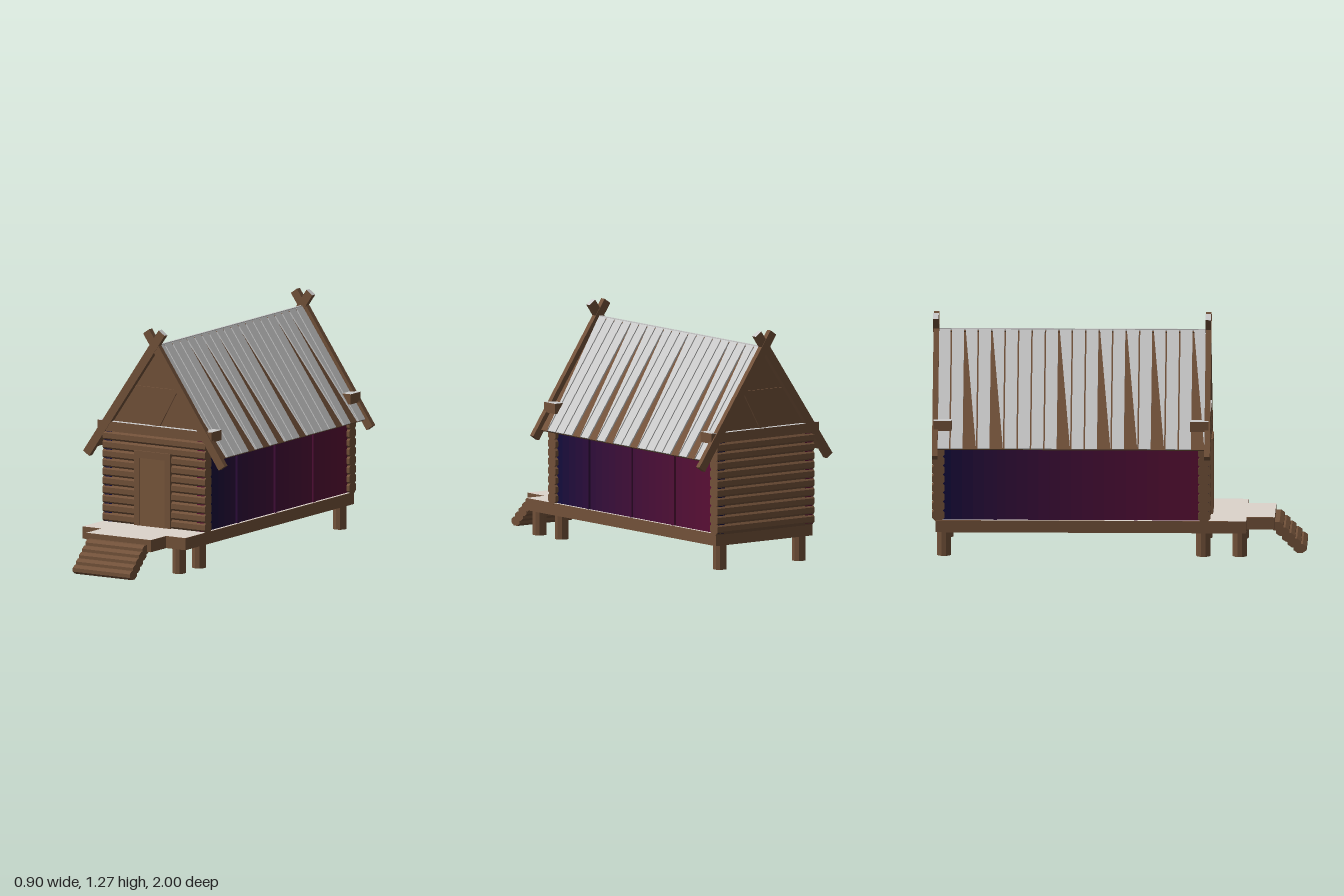
import * as THREE from 'three';

const mat = (color, side = THREE.FrontSide) =>
  new THREE.MeshStandardMaterial({ color, side, flatShading: true });
const WOOD = mat(0x73523a), DOOR = mat(0x7a583c), PALE = mat(0xddd4cc), GREY = mat(0xcccccc);
const TOPPED = [WOOD, WOOD, GREY, WOOD, WOOD, WOOD]; // timber with a grey upper face
const BLUE = new THREE.Color(0x0e0c3c), RED = new THREE.Color(0x5c0f34);

const MID_Z = -0.255; // centre of the house along z
const RIDGE = 1.175, EAVE_X = 0.4, EAVE_Y = 0.6;

function add(parent, name, geometry, material, x = 0, y = 0, z = 0) {
  const mesh = new THREE.Mesh(geometry, material);
  mesh.name = name;
  mesh.position.set(x, y, z);
  parent.add(mesh);
  return mesh;
}

const box = (parent, name, w, h, d, x, y, z, material = WOOD) =>
  add(parent, name, new THREE.BoxGeometry(w, h, d), material, x, y, z);

const polygon = (points) => new THREE.Shape(points.map(([x, y]) => new THREE.Vector2(x, y)));
const extrude = (shape, depth) => new THREE.ExtrudeGeometry(shape, { depth, bevelEnabled: false });

// Eight-sided log lying along x, squashed to the given half sizes
function log(parent, name, length, ry, rz, x, y, z) {
  const g = new THREE.CylinderGeometry(1, 1, length, 8);
  g.rotateY(Math.PI / 8).rotateZ(Math.PI / 2).scale(1, ry, rz);
  return add(parent, name, g, WOOD, x, y, z);
}

// Deck with a stepped front, on round stilts, with log stairs
function buildDeck() {
  const deck = new THREE.Group();
  deck.name = 'deck';
  const outline = polygon([
    [-0.328, 0.98], [-0.328, -0.68], [-0.207, -0.68], [-0.207, -0.83],
    [0.203, -0.83], [0.203, -0.68], [0.325, -0.68], [0.325, 0.98],
  ]);
  add(deck, 'platform', extrude(outline, 0.065).rotateX(-Math.PI / 2), WOOD, 0, 0.133, 0);
  add(deck, 'platformTop', new THREE.ShapeGeometry(outline).rotateX(-Math.PI / 2), PALE, 0, 0.199, 0);
  for (const x of [-0.268, 0.263])
    for (const z of [0.645, 0.45, -0.935])
      add(deck, 'stilt', new THREE.CylinderGeometry(0.038, 0.038, 0.134, 10), WOOD, x, 0.067, z);
  for (let i = 0; i < 5; i++)
    log(deck, 'step', 0.363, 0.026, 0.038, -0.003, 0.026 + i * 0.03, 0.965 - i * 0.031);
  return deck;
}

// Long side wall: colour runs from blue to red, seen from outside left to right
function buildSideWall() {
  const wall = new THREE.Group();
  wall.name = 'sideWall';
  const n = 24, length = 1.4, w = length / n;
  for (let i = 0; i < n; i++) {
    const color = BLUE.clone().lerp(RED, (i + 0.5) / n);
    const panel = mat(color, THREE.DoubleSide);
    add(wall, 'wallPanel', new THREE.PlaneGeometry(w, 0.5), panel, -length / 2 + w * (i + 0.5), 0.445, 0.308);
  }
  for (const x of [-0.405, -0.03, 0.345]) {
    const color = BLUE.clone().lerp(RED, x / length + 0.5);
    box(wall, 'wallPost', 0.018, 0.49, 0.02, x, 0.445, 0.31, mat(color));
  }
  return wall;
}

// Log end wall with truss gable, cross beam, barge boards and plate ends; faces +z
function buildEnd() {
  const end = new THREE.Group();
  end.name = 'endWall';
  for (let i = 0; i < 10; i++)
    log(end, 'wallLog', 0.652, 0.036, 0.036, 0, 0.224 + i * 0.049, 0.71);
  // Coloured chinks near the corners
  add(end, 'cornerChink', new THREE.PlaneGeometry(0.05, 0.49), mat(BLUE), -0.294, 0.445, 0.735);
  add(end, 'cornerChink', new THREE.PlaneGeometry(0.05, 0.49), mat(RED), 0.294, 0.445, 0.735);

  add(end, 'gable', extrude(polygon([[-0.33, 0.69], [0.33, 0.69], [0, 1.165]]), 0.02), WOOD, 0, 0, 0.69);
  const brace = polygon([[-0.137, 0.95], [-0.02, 0.74], [0.02, 0.74], [0.137, 0.95]]);
  add(end, 'gableBrace', extrude(brace, 0.008), WOOD, 0, 0, 0.71);
  box(end, 'crossBeam', 0.64, 0.053, 0.05, 0, 0.717, 0.715, TOPPED);

  for (const s of [-1, 1]) {
    const board = box(end, 'bargeBoard', 0.046, 0.847, 0.03, s * 0.19, 0.906, 0.728 - (s > 0 ? 0.002 : 0), TOPPED);
    board.rotation.z = s * Math.atan2(0.48, 0.698);
    box(end, 'plateEnd', 0.06, 0.055, 0.098, s * 0.331, 0.717, 0.686, TOPPED);
  }
  return end;
}

// One roof slope on the +x side: brown boarding under grey strips, some cut to a triangle
function buildSlope(cutStrips) {
  const slope = new THREE.Group();
  slope.name = 'roofSlope';
  const rise = RIDGE - EAVE_Y, L = Math.hypot(EAVE_X, rise);
  const n = 20, length = 1.435, w = length / n, gap = 0.004;
  box(slope, 'roofBoarding', length, L, 0.012, 0, L / 2, -0.008);
  for (let i = 0; i < n; i++) {
    const a = -length / 2 + i * w + gap, b = a + w - 2 * gap;
    const outline = cutStrips.includes(i)
      ? [[a, L], [b, 0], [b, L]]
      : [[a, 0], [b, 0], [b, L], [a, L]];
    add(slope, 'roofStrip', extrude(polygon(outline), 0.008), GREY, 0, 0, -0.002);
  }
  const along = new THREE.Vector3(0, 0, -1);
  const up = new THREE.Vector3(-EAVE_X, rise, 0).divideScalar(L);
  const out = new THREE.Vector3(rise, EAVE_X, 0).divideScalar(L);
  slope.quaternion.setFromRotationMatrix(new THREE.Matrix4().makeBasis(along, up, out));
  slope.position.set(EAVE_X, EAVE_Y, 0);
  const holder = new THREE.Group();
  holder.name = 'roofSide';
  holder.add(slope);
  return holder;
}

// Door with a raised frame
function buildDoor() {
  const door = new THREE.Group();
  door.name = 'door';
  const frame = polygon([[-0.115, 0], [0.115, 0], [0.115, 0.405], [-0.115, 0.405]]);
  frame.holes.push(new THREE.Path([[-0.08, 0.001], [-0.08, 0.367], [0.08, 0.367], [0.08, 0.001]]
    .map(([x, y]) => new THREE.Vector2(x, y))));
  add(door, 'doorFrame', extrude(frame, 0.04), WOOD);
  box(door, 'doorPanel', 0.162, 0.367, 0.034, 0, 0.184, 0.017, DOOR);
  door.position.set(-0.004, 0.2, 0.459);
  return door;
}

export function createModel() {
  const model = new THREE.Group();
  model.name = 'logCabin';
  model.add(buildDeck(), buildDoor());

  const house = new THREE.Group();
  house.name = 'house';
  house.position.z = MID_Z;
  for (const turn of [0, Math.PI]) {
    const wall = buildSideWall();
    wall.rotation.y = Math.PI / 2 + turn;
    const end = buildEnd();
    end.rotation.y = turn;
    const slope = buildSlope(turn ? [2, 4, 9, 12, 14, 16, 19] : [0, 4, 6, 8, 11, 16, 18]);
    slope.rotation.y = turn;
    house.add(wall, end, slope);
  }
  box(house, 'ridge', 0.012, 0.012, 1.435, 0, RIDGE, 0, GREY);
  model.add(house);
  return model;
}
